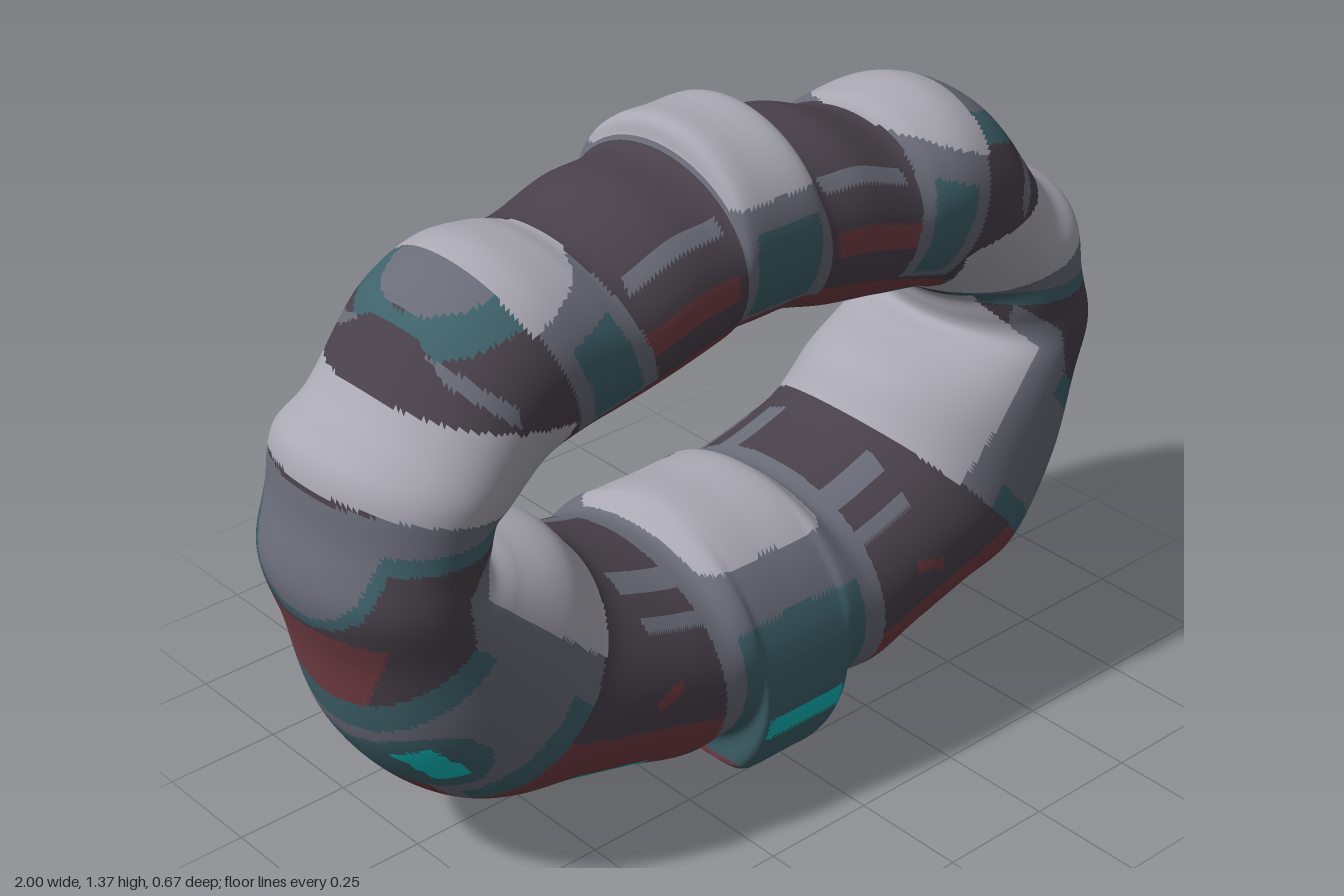
import * as THREE from 'three';

const mat = (name, color) => {
  const m = new THREE.MeshStandardMaterial({ color });
  m.name = name;
  return m;
};

// Key sections from top to bottom of the right half: outer x, y, inner x, y
const SECTIONS = [
  [0, 1.37, 0, 0.93], [0.09, 1.365, 0.08, 0.93], [0.115, 1.31, 0.115, 0.925], [0.25, 1.295, 0.2, 0.9],
  [0.4, 1.245, 0.3, 0.885], [0.47, 1.262, 0.36, 0.87], [0.58, 1.27, 0.43, 0.855], [0.7, 1.21, 0.52, 0.835],
  [0.85, 1.02, 0.6, 0.79], [0.94, 0.96, 0.615, 0.775], [0.97, 0.83, 0.625, 0.75], [1, 0.7, 0.63, 0.71],
  [0.96, 0.55, 0.57, 0.69], [0.9, 0.33, 0.45, 0.65], [0.75, 0.16, 0.37, 0.56], [0.58, 0.12, 0.29, 0.525],
  [0.4, 0.075, 0.22, 0.505], [0.27, 0.035, 0.17, 0.5], [0.13, 0.025, 0.13, 0.53], [0.1, -0.1, 0.1, 0.54],
  [0, -0.11, 0, 0.54],
];
const HALF = 260, AROUND = 128, RING = HALF * 2;

// Closed ring of elliptical sections, mirrored left to right, cut flat at the foot
function ringGeometry() {
  const curve = (k) => new THREE.CatmullRomCurve3(
    SECTIONS.map((s) => new THREE.Vector3(s[k], s[k + 1], 0)), false, 'centripetal');
  const outer = curve(0), inner = curve(2);
  const pos = [], idx = [];
  for (let i = 0; i < RING; i++) {
    const side = i <= HALF ? 1 : -1;
    const t = outer.getUtoTmapping((i <= HALF ? i : RING - i) / HALF);
    const o = outer.getPoint(t), q = inner.getPoint(t);
    const mid = o.clone().add(q).multiplyScalar(0.5), arm = o.sub(q).multiplyScalar(0.5);
    const depth = 0.262 + Math.max(0, 0.75 - mid.y) * 0.14;
    for (let j = 0; j < AROUND; j++) {
      const a = (j / AROUND) * Math.PI * 2, c = Math.cos(a);
      pos.push(side * (mid.x + arm.x * c), Math.max(0, mid.y + arm.y * c), depth * Math.sin(a));
    }
  }
  for (let i = 0; i < RING; i++) for (let j = 0; j < AROUND; j++) {
    const k = ((i + 1) % RING) * AROUND, j2 = (j + 1) % AROUND;
    const a = i * AROUND + j, b = i * AROUND + j2, c = k + j, d = k + j2;
    idx.push(a, b, c, b, d, c);
  }
  const g = new THREE.BufferGeometry();
  g.setAttribute('position', new THREE.Float32BufferAttribute(pos, 3));
  g.setIndex(idx);
  g.computeVertexNormals();
  return g;
}

// Nodes around the ring: each has a pale collar, most with a plated strip running down from it.
// Teal trim fills the strip between trimIn and trimOut from its centre line.
const NODES = [
  { x: 0, y: 1.31, tilt: 0, length: 0.29, width: 0.11, trimIn: 0, trimOut: 0.08, collar: 0.105, end: 0.05, lamp: 0 },
  { x: 0.51, y: 1.24, tilt: -0.37, length: 0.3, width: 0.09, trimIn: 0, trimOut: 0.055, collar: 0.1, end: 0.04, lamp: 0 },
  { x: 0.78, y: 0.93, tilt: 0.25, length: 0, width: 0, trimIn: 0, trimOut: 0, collar: 0.25, end: 0.06, lamp: 0 },
  { x: 0.57, y: 0.62, tilt: 0.73, length: 0.44, width: 0.165, trimIn: 0.12, trimOut: 0.165, collar: 0.17, end: 0.06, lamp: 0.05 },
  { x: 0, y: 0.52, tilt: 0, length: 0.43, width: 0.22, trimIn: 0, trimOut: 0.165, collar: 0.165, end: 0.05, lamp: 0.1 },
];

const between = (v, lo, hi) => v > lo && v < hi;

// Part of a node that covers a point, if any
function nodePart(n, x, y) {
  const dx = x - n.x, dy = y - n.y, c = Math.cos(n.tilt), s = Math.sin(n.tilt);
  const across = Math.abs(dx * c + dy * s), down = dx * s - dy * c;
  const fromLamp = down - n.length + 0.05;
  if (across < n.collar && between(down, -0.11, n.end)) return 'collars';
  if (across < n.lamp && Math.abs(fromLamp) < 0.026) return 'windows';
  if (Math.hypot(across, fromLamp) < n.lamp * 1.7) return 'nodeTrim';
  if (between(across, n.trimIn - 0.01, n.trimOut) && between(down, n.length * 0.33, n.length * 0.96)) return 'nodeTrim';
  if (across < n.width && between(down, -0.06, n.length)) return 'nodePlating';
  return null;
}

// Sloped rectangle test
const pane = (x, y, cx, cy, slope, w, h) =>
  Math.abs(x - cx) < w && Math.abs(y - cy - slope * (x - cx)) < h;

// Part at a point; v runs from -1 on the inner rim to 1 on the outer rim
function partAt(x, y, v) {
  if (y < 0.003) return 'footBase';
  // glass panes under the ring and under its upper arch
  if (pane(x, y, 0.48, 0.148, 0.22, 0.12, 0.036)) return 'windows';
  if (pane(x, y, 0, 0.95, 0, 0.12, 0.015) || pane(x, y, 0.385, 0.887, -0.25, 0.09, 0.022)) return 'windows';
  for (const n of NODES) {
    const part = nodePart(n, x, y);
    if (part) return part;
  }
  // bands sagging below the side collars, and beside the upper ones
  const sag = Math.max(0, x - 0.92) * 2.2;
  if (x > 0.6 && between(y, 0.79 - sag, 0.825 - sag)) return 'nodeTrim';
  if (x > 0.6 && between(y, 0.8 - sag, 0.9)) return 'nodePlating';
  if (pane(x, y, 0.66, 1.185, -0.35, 0.08, 0.024)) return 'nodeTrim';
  if (pane(x, y, 0.66, 1.235, -0.35, 0.06, 0.03)) return 'nodePlating';
  // strips running along the hull between nodes
  if (y > 0.9 && between(x, 0.13, 0.36)) {
    if (between(v, -0.06, 0.22)) return 'redStrips';
    if (between(v, 0.58, 0.7)) return 'hullPanels';
  }
  if (y < 0.6 && between(x, 0.2, 0.36) && (between(v, -0.92, -0.84) || between(v, -0.7, -0.62))) return 'hullPanels';
  if (pane(x, y, 0.36, 0.338, -0.25, 0.035, 0.012)) return 'redStrips';
  if (pane(x, y, 0.74, 0.71, -0.8, 0.05, 0.045) || pane(x, y, 0.7, 1.08, 0.9, 0.045, 0.02)) return 'hullPanels';
  // maroon bands facing the ground
  if (y < 0.17 + 0.27 * x || (x > 0.925 && y < 0.63)) return 'underside';
  if (x < 0.57 && between(y, 0.75, 1.04 - 0.55 * x * x)) return 'underside';
  return 'hull';
}

export function createModel() {
  const dark = mat('dark hull', 0x49414a), slate = mat('slate plating', 0x6a6c78);
  const light = mat('pale collar', 0xaaa8b2), teal = mat('teal trim', 0x3f626b);
  const red = mat('maroon underside', 0x733e44), cyan = mat('cyan glass', 0x0fbcbc);
  const materials = {
    hull: dark, footBase: dark, underside: red, redStrips: red, hullPanels: slate,
    nodePlating: slate, nodeTrim: teal, collars: light, windows: cyan,
  };

  const model = new THREE.Group();
  model.name = 'ringStation';

  // Sort the ring's triangles into parts, keeping smooth normals across seams
  const ring = ringGeometry(), p = ring.attributes.position, idx = ring.index.array;
  const faces = Object.fromEntries(Object.keys(materials).map((name) => [name, []]));
  for (let f = 0; f < idx.length; f += 3) {
    const t = [idx[f], idx[f + 1], idx[f + 2]];
    const mean = (get) => (get(t[0]) + get(t[1]) + get(t[2])) / 3;
    const x = Math.abs(mean((k) => p.getX(k))), y = mean((k) => p.getY(k));
    const v = mean((k) => Math.cos(((k % AROUND) / AROUND) * Math.PI * 2));
    faces[partAt(x, y, v)].push(...t);
  }
  for (const [name, material] of Object.entries(materials)) {
    const g = new THREE.BufferGeometry();
    g.setAttribute('position', p);
    g.setAttribute('normal', ring.attributes.normal);
    g.setIndex(faces[name]);
    const mesh = new THREE.Mesh(g.toNonIndexed(), material);
    mesh.name = name;
    model.add(mesh);
  }
  return model;
}
